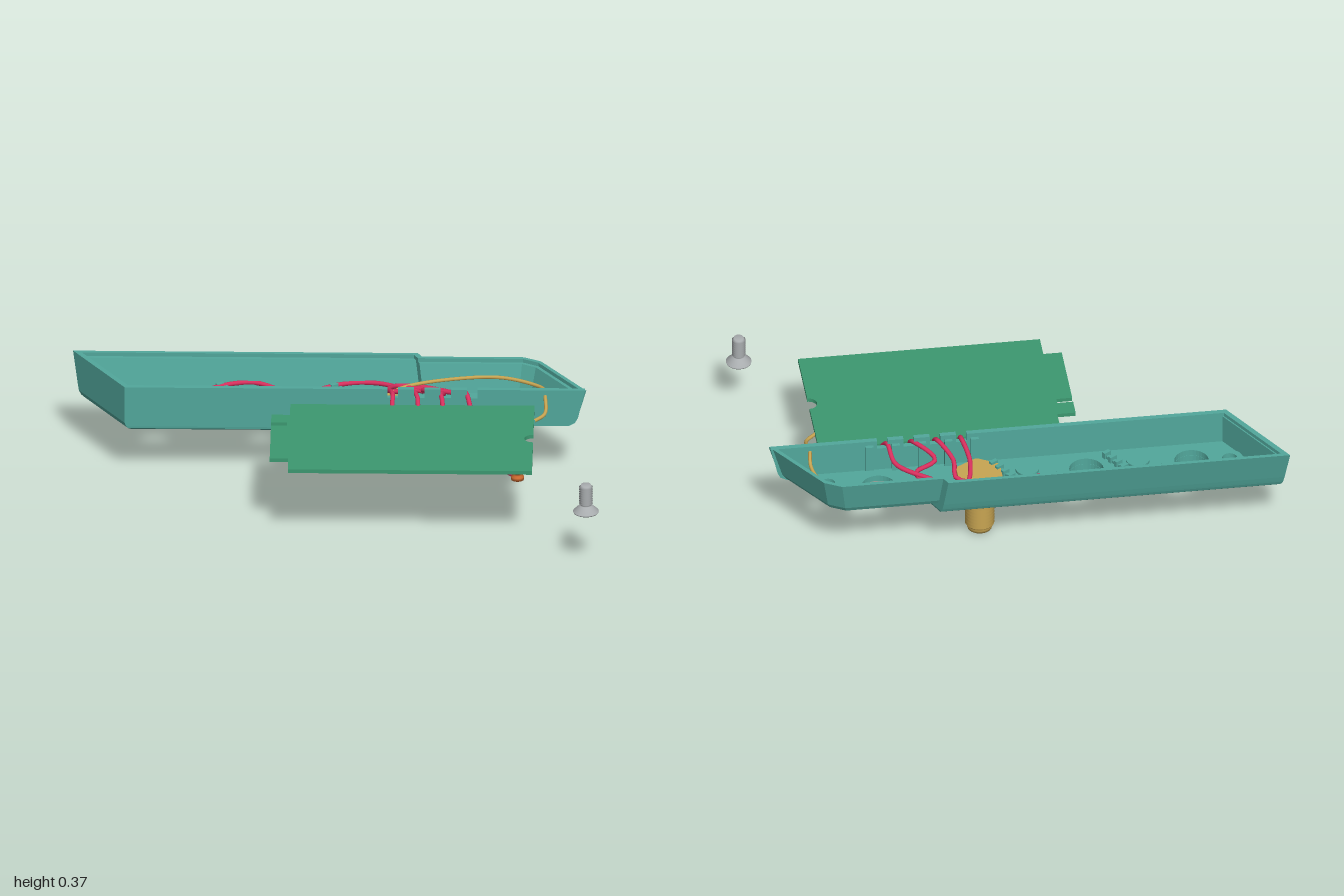
import * as THREE from 'three';

const mat = (name, color, side = THREE.FrontSide) => {
  const m = new THREE.MeshStandardMaterial({ color, side });
  m.name = name;
  return m;
};

export function createModel() {
  const root = new THREE.Group();
  root.name = 'electronicsAssembly';
  const teal = mat('teal plastic', 0x52a89c, THREE.DoubleSide);
  const green = mat('board green', 0x3c9870);
  const gold = mat('brass', 0xc8a552);
  const red = mat('red insulation', 0xd8305e);
  const orange = mat('copper', 0xc9682f);
  const grey = mat('steel', 0xa9adaf);

  const add = (name, geo, material, x = 0, y = 0, z = 0, parent = root) => {
    const m = new THREE.Mesh(geo, material);
    m.name = name;
    m.position.set(x, y, z);
    parent.add(m);
    return m;
  };

  // Moves each edge of a plan outline inward by its own distance
  const inset = (pts, d) => {
    const n = pts.length;
    const lines = pts.map(([x, z], i) => {
      const [x2, z2] = pts[(i + 1) % n], l = Math.hypot(x2 - x, z2 - z);
      const dx = (x2 - x) / l, dz = (z2 - z) / l;
      return [x - dz * d[i], z + dx * d[i], dx, dz];
    });
    return lines.map(([x, z, dx, dz], i) => {
      const [px, pz, ex, ez] = lines[(i + n - 1) % n];
      const t = ((x - px) * dz - (z - pz) * dx) / (ex * dz - ez * dx);
      return [px + ex * t, pz + ez * t];
    });
  };

  // Joins outlines at successive heights; skips the last edge when open
  const loft = (rings, closed) => {
    const pos = [];
    for (let r = 0; r + 1 < rings.length; r++) {
      const [a, b] = [rings[r], rings[r + 1]], n = a.pts.length;
      for (let i = 0; i < (closed ? n : n - 1); i++) {
        const j = (i + 1) % n;
        const v = (ring, k) => [ring.pts[k][0], ring.y, ring.pts[k][1]];
        pos.push(...v(a, i), ...v(a, j), ...v(b, j), ...v(a, i), ...v(b, j), ...v(b, i));
      }
    }
    const g = new THREE.BufferGeometry();
    g.setAttribute('position', new THREE.Float32BufferAttribute(pos, 3));
    g.computeVertexNormals();
    return g;
  };

  const shapeOf = pts => new THREE.Shape(pts.map(p => new THREE.Vector2(p[0], p[1])));
  const hole = (x, z, r) => new THREE.Path().absarc(x, z, r, 0, Math.PI * 2, true);
  // Horizontal plate from a plan shape, hanging down from its top
  const plate = (shape, top, depth) => new THREE.ExtrudeGeometry(shape,
    { depth, bevelEnabled: false, curveSegments: 16 }).rotateX(Math.PI / 2).translate(0, top, 0);

  // Tray walls: edges are left, long back, step, short back, corner, right, front
  const tray = new THREE.Group();
  tray.name = 'tray';
  root.add(tray);
  const outline = [[-0.8, -0.24], [-1, -0.56], [0.3, -0.56], [0.315, -0.53],
    [0.7, -0.53], [0.765, -0.495], [0.94, -0.24]];
  const ring = (y, ...d) => ({ y, pts: inset(outline, d) });
  const base = ring(0.222, 0, 0.036, 0, 0.05, 0.055, 0.055, 0);
  add('trayWalls', loft([
    base,
    ring(0.232, 0, 0.033, 0, 0.035, 0.04, 0.04, 0),
    ring(0.25, 0, 0.028, 0, 0.026, 0.03, 0.029, 0),
    ring(0.37, 0, 0, 0, 0, 0, 0, 0),
    ring(0.37, 0.02, 0.015, 0.02, 0.015, 0.015, 0.015, 0.02),
    ring(0.355, 0.02, 0.015, 0.02, 0.015, 0.015, 0.015, 0.02),
    ring(0.355, 0.025, 0.03, 0.02, 0.028, 0.028, 0.028, 0.02),
    ring(0.238, 0.025, 0.06, 0.02, 0.056, 0.058, 0.058, 0.02),
  ], false), teal, 0, 0, 0, tray);

  // Front wall with wire notches
  const front = [[-0.8, 0.222], [0.87, 0.222], [0.897, 0.235], [0.908, 0.255], [0.935, 0.37]];
  const notches = [0.51, 0.41, 0.31, 0.21];
  for (const x of notches)
    front.push([x + 0.02, 0.37], [x + 0.02, 0.335], [x - 0.02, 0.335], [x - 0.02, 0.37]);
  front.push([-0.8, 0.37]);
  add('frontWall', new THREE.ExtrudeGeometry(shapeOf(front), { depth: 0.02, bevelEnabled: false }),
    teal, 0, 0, -0.26, tray);
  for (const x of [0.56, ...notches.map(v => v - 0.05)])
    add('wireGuide', new THREE.BoxGeometry(0.03, 0.115, 0.018), teal, x, 0.295, -0.266, tray);

  // Floor with through holes
  const big = [-0.65, -0.25, 0.54].map(x => [x, -0.375, 0.065]);
  const screwHole = [-0.79, -0.41, 0.028];
  const floor = shapeOf(base.pts);
  for (const h of [...big, screwHole, [0.725, -0.32, 0.027]]) floor.holes.push(hole(...h));
  add('floor', plate(floor, 0.238, 0.016), teal, 0, 0, 0, tray);

  // Thicker underside of the long section, with blind recesses
  const under = [[-0.8, -0.24], [-1, -0.56], [0.3, -0.56], [0.46, -0.24]];
  const uRing = (y, ...d) => ({ y, pts: inset(under, d) });
  const bottom = uRing(0.195, 0.022, 0.068, 0.006, 0.005);
  add('undersideRim', loft([uRing(0.222, 0, 0.036, 0, 0),
    uRing(0.208, 0.004, 0.042, 0, 0), uRing(0.2, 0.011, 0.052, 0.002, 0.001), bottom], true),
    teal, 0, 0, 0, tray);
  const underside = shapeOf(bottom.pts);
  const recesses = [...big.slice(0, 2), screwHole,
    [-0.45, -0.34, 0.03], [-0.03, -0.34, 0.03], [0.34, -0.34, 0.03]];
  for (const h of recesses) underside.holes.push(hole(...h));
  add('underside', plate(underside, 0.221, 0.026), teal, 0, 0, 0, tray);

  // Hexagonal seats around the large holes and a boss round the screw hole
  for (const [x, z, r] of big) {
    const hex = [0, 1, 2, 3, 4, 5].map(i =>
      [x + 0.115 * Math.cos(i * Math.PI / 3), z + 0.115 * Math.sin(i * Math.PI / 3)]);
    const s = shapeOf(hex);
    s.holes.push(hole(x, z, r));
    add('hexSeat', plate(s, 0.246, 0.01), teal, 0, 0, 0, tray);
  }
  const boss = new THREE.Shape().absarc(screwHole[0], screwHole[1], 0.05, 0, Math.PI * 2);
  boss.holes.push(hole(...screwHole));
  add('screwBoss', plate(boss, 0.27, 0.034), teal, 0, 0, 0, tray);
  for (const x of [-0.45, -0.03, 0.34])
    add('smallBoss', new THREE.CylinderGeometry(0.045, 0.045, 0.012, 20), teal, x, 0.242, -0.34, tray);

  // Toothed diagonal ribs
  for (const x of [-0.39, 0.04]) {
    const rib = new THREE.Group();
    rib.name = 'diagonalRib';
    rib.position.set(x, 0.238, -0.4);
    rib.rotation.y = Math.atan2(0.14, 0.23);
    tray.add(rib);
    add('ribBase', new THREE.BoxGeometry(0.016, 0.02, 0.24), teal, 0, 0.01, 0, rib);
    for (let i = 0; i < 7; i++)
      add('ribTooth', new THREE.BoxGeometry(0.03, 0.034, 0.016), teal, 0, 0.017, -0.105 + i * 0.035, rib);
  }

  // Circuit board with a slotted tab and an edge notch
  const pcb = new THREE.Shape();
  const edge = [[-0.175, -0.21], [0.745, -0.21], [0.745, 0.045]];
  edge.forEach(([x, z], i) => (i ? pcb.lineTo(x, z) : pcb.moveTo(x, z)));
  pcb.absarc(0.745, 0.078, 0.033, -Math.PI / 2, Math.PI / 2, true);
  for (const [x, z] of [[0.745, 0.365], [-0.175, 0.365], [-0.175, 0.27], [-0.245, 0.27],
    [-0.245, -0.02], [-0.185, -0.02], [-0.185, -0.045], [-0.245, -0.045],
    [-0.245, -0.115], [-0.175, -0.115]]) pcb.lineTo(x, z);
  add('circuitBoard', plate(pcb, 0.32, 0.015), green);
  add('boardModule', new THREE.BoxGeometry(0.62, 0.03, 0.28), green, 0.18, 0.292, 0.08);

  // Solder contacts under the board
  const contacts = [[0.69, 0.32], [0.51, 0.25], [0.67, -0.085], [0.52, -0.16]];
  const spool = [[0, 0.265], [0.024, 0.265], [0.024, 0.278], [0.014, 0.282],
    [0.014, 0.292], [0.026, 0.295], [0.026, 0.307], [0, 0.307]].map(p => new THREE.Vector2(...p));
  for (const [x, z] of contacts) add('contact', new THREE.LatheGeometry(spool, 16), orange, x, 0, z);

  // Wires
  const wire = (name, material, r, pts) => add(name, new THREE.TubeGeometry(
    new THREE.CatmullRomCurve3(pts.map(p => new THREE.Vector3(...p))), 64, r, 8), material);
  wire('redWire', red, 0.009, [[0.69, 0.273, 0.32], [0.52, 0.262, 0.1], [0.36, 0.258, -0.08],
    [0.215, 0.3, -0.19], [0.21, 0.345, -0.25], [0.19, 0.31, -0.36], [0.22, 0.28, -0.46],
    [0.3, 0.27, -0.48], [0.45, 0.265, -0.43]]);
  wire('redWire', red, 0.009, [[0.51, 0.273, 0.25], [0.46, 0.26, 0.08], [0.36, 0.262, -0.08],
    [0.31, 0.3, -0.19], [0.3, 0.345, -0.25], [0.25, 0.31, -0.34], [0.25, 0.28, -0.41],
    [0.12, 0.265, -0.44], [0.02, 0.26, -0.43], [-0.07, 0.26, -0.41], [-0.2, 0.26, -0.45],
    [-0.31, 0.265, -0.51], [-0.4, 0.265, -0.5], [-0.55, 0.255, -0.43]]);
  wire('redWire', red, 0.009, [[0.67, 0.273, -0.085], [0.52, 0.264, -0.11], [0.41, 0.29, -0.18],
    [0.39, 0.345, -0.25], [0.32, 0.32, -0.34], [0.4, 0.29, -0.37], [0.38, 0.28, -0.4],
    [0.27, 0.275, -0.44], [0.14, 0.27, -0.505], [0.02, 0.265, -0.505], [-0.14, 0.255, -0.43]]);
  wire('redWire', red, 0.009, [[0.52, 0.273, -0.16], [0.51, 0.29, -0.19], [0.49, 0.345, -0.25],
    [0.47, 0.31, -0.33], [0.37, 0.29, -0.4], [0.24, 0.275, -0.46]]);
  wire('antennaWire', gold, 0.007, [[0.18, 0.265, -0.4], [0.25, 0.28, -0.45], [0.45, 0.3, -0.485],
    [0.62, 0.31, -0.475], [0.76, 0.31, -0.4], [0.79, 0.32, -0.32], [0.785, 0.345, -0.25],
    [0.785, 0.315, -0.15], [0.745, 0.308, -0.1]]);

  // Ridged shaft profile: alternating crest and root radii
  const ridges = (y0, y1, rIn, rOut, turns) => {
    const p = [];
    for (let i = 0; i <= turns * 2; i++)
      p.push(new THREE.Vector2(i % 2 ? rOut : rIn, y0 + (y1 - y0) * i / (turns * 2)));
    return p;
  };
  const V = (x, y) => new THREE.Vector2(x, y);

  // Threaded brass connector
  const connector = new THREE.Group();
  connector.name = 'connector';
  connector.position.set(0.155, 0, -0.367);
  root.add(connector);
  const cyl = (name, r, y0, y1, sides) => add(name,
    new THREE.CylinderGeometry(r, r, y1 - y0, sides), gold, 0, (y0 + y1) / 2, 0, connector);
  add('threadedBarrel', new THREE.LatheGeometry(
    [V(0, 0.012), V(0.046, 0.012), V(0.05, 0.026), ...ridges(0.03, 0.15, 0.047, 0.056, 8), V(0, 0.15)], 24),
    gold, 0, 0, 0, connector);
  add('pin', new THREE.CylinderGeometry(0.012, 0.003, 0.014, 12), gold, 0, 0.007, 0, connector);
  cyl('outerNut', 0.086, 0.146, 0.176, 6);
  cyl('collar', 0.056, 0.17, 0.24, 20);
  cyl('washer', 0.096, 0.183, 0.196, 28);
  cyl('innerNut', 0.096, 0.236, 0.262, 6);

  // Loose countersunk screw standing on its head
  const screw = new THREE.Group();
  screw.name = 'screw';
  screw.position.set(0.951, 0, 0.51);
  root.add(screw);
  add('screwBody', new THREE.LatheGeometry([V(0, 0.235), V(0.022, 0.235), V(0.022, 0.22), V(0.047, 0.22),
    V(0.049, 0.225), V(0.023, 0.25), ...ridges(0.253, 0.33, 0.02, 0.026, 8), V(0.019, 0.335), V(0, 0.335)], 24),
    grey, 0, 0, 0, screw);

  return root;
}
